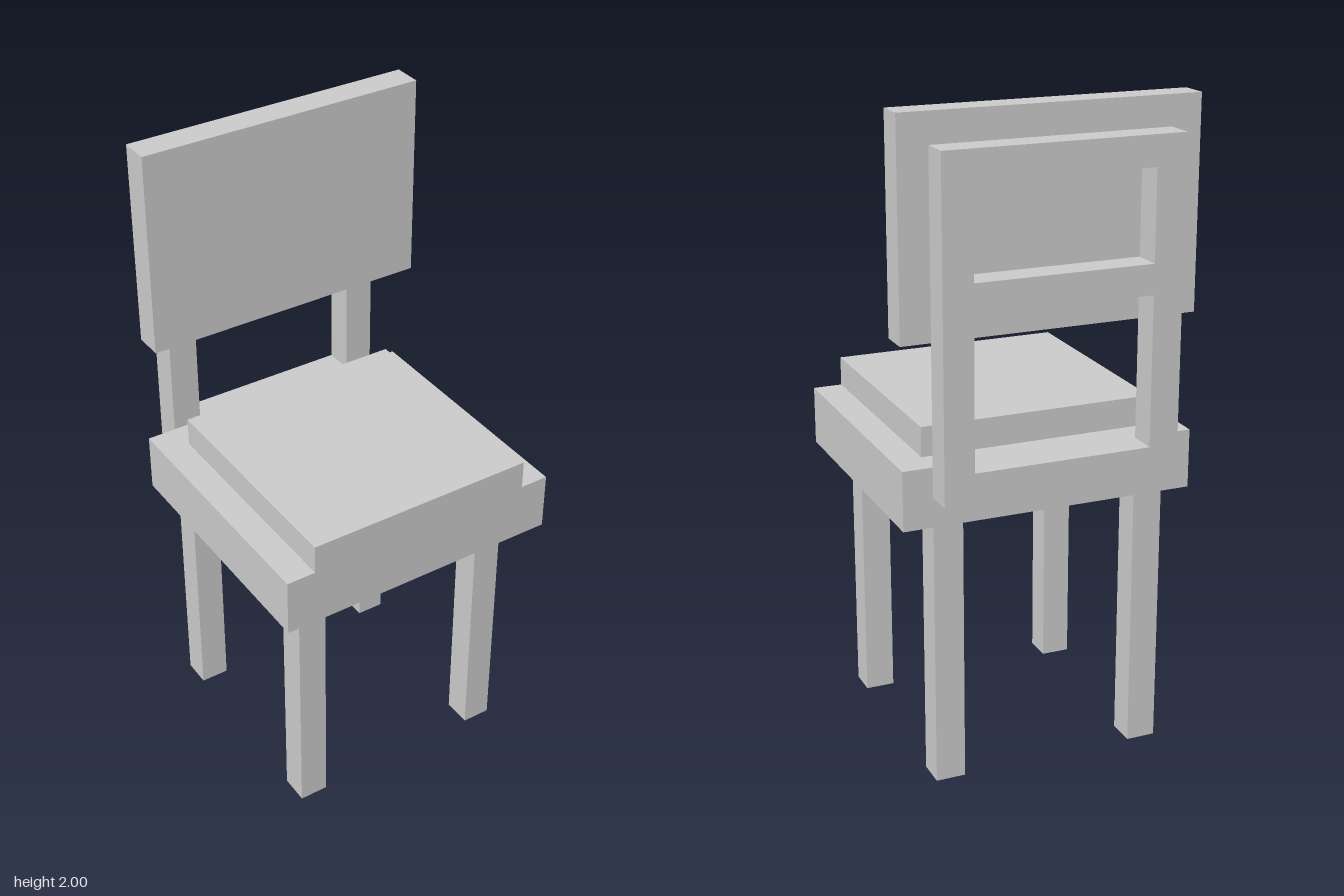
import * as THREE from 'three';

// The chair sits on a grid of 22 units over its full height of 2.
const U = 2 / 22;
const material = new THREE.MeshStandardMaterial({ color: 0xcccccc, flatShading: true });

// Rectangle outline given by its limits in grid units
function rect(path, x0, x1, y0, y1) {
  path.moveTo(x0 * U, y0 * U);
  path.lineTo(x1 * U, y0 * U);
  path.lineTo(x1 * U, y1 * U);
  path.lineTo(x0 * U, y1 * U);
  path.closePath();
  return path;
}

function addMesh(group, name, geometry) {
  const mesh = new THREE.Mesh(geometry, material);
  mesh.name = name;
  group.add(mesh);
  return mesh;
}

// Box given by its limits in grid units
function addBox(group, name, [x0, x1], [y0, y1], [z0, z1]) {
  const geometry = new THREE.BoxGeometry((x1 - x0) * U, (y1 - y0) * U, (z1 - z0) * U);
  geometry.translate((x0 + x1) * U / 2, (y0 + y1) * U / 2, (z0 + z1) * U / 2);
  return addMesh(group, name, geometry);
}

// Rectangular plate with rectangular openings, one unit thick along z
function plate(outline, openings) {
  const shape = rect(new THREE.Shape(), ...outline);
  openings.forEach((o) => shape.holes.push(rect(new THREE.Path(), ...o)));
  return new THREE.ExtrudeGeometry(shape, { depth: U, bevelEnabled: false });
}

export function createModel() {
  const chair = new THREE.Group();
  chair.name = 'chair';

  // Four square legs
  for (const [side, x] of [['Right', -4], ['Left', 3]]) {
    addBox(chair, 'front' + side + 'Leg', [x, x + 1], [0, 9], [3, 4]);
    addBox(chair, 'back' + side + 'Leg', [x, x + 1], [0, 9], [-4, -3]);
  }

  // Seat: lower layer with a slot between the front legs, then a solid layer
  const seat = new THREE.Group();
  seat.name = 'seat';
  chair.add(seat);
  const lower = plate([-5, 5, -5, 4], [[-3, 3, -4, -3]]);
  lower.rotateX(-Math.PI / 2).translate(0, 9 * U, 0);
  addMesh(seat, 'seatBase', lower);
  addBox(seat, 'seatTop', [-5, 5], [10, 11], [-4, 5]);

  // Cushion, flush with the front of the seat
  addBox(chair, 'cushion', [-4, 4], [11, 12], [-3, 5]);

  // Back frame with two openings, fixed behind the seat
  const frame = plate([-4, 4, 10, 21], [[-3, 3, 11, 16], [-3, 3, 17, 20]]);
  frame.translate(0, 0, -5 * U);
  addMesh(chair, 'backFrame', frame);

  // Wide panel on the front of the frame
  addBox(chair, 'backrest', [-5, 5], [15, 22], [-4, -3]);

  return chair;
}
